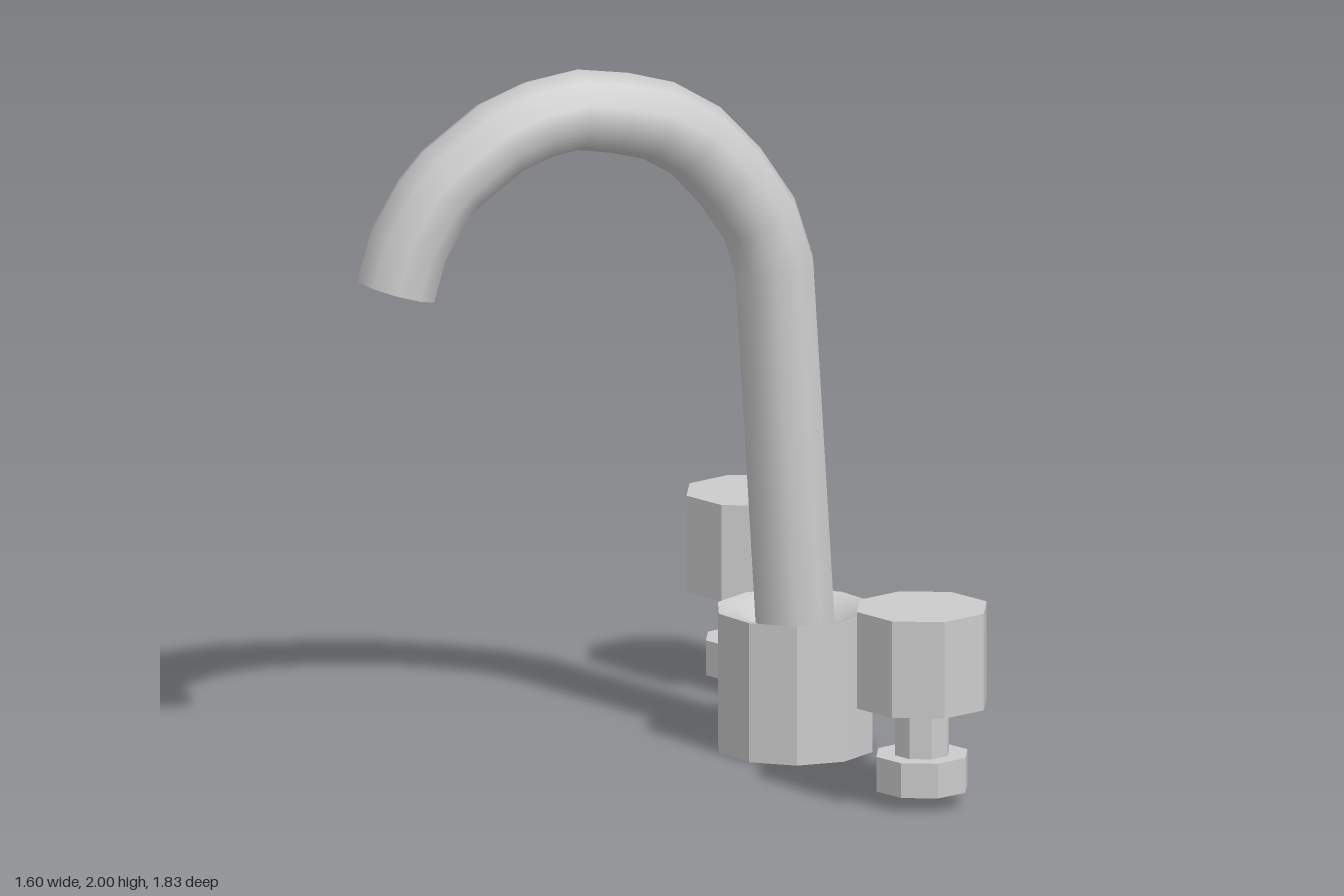
import * as THREE from 'three';

const solid = new THREE.MeshStandardMaterial({ color: 0xcccccc, flatShading: true });
const shell = new THREE.MeshStandardMaterial({ color: 0xcccccc, flatShading: true, side: THREE.DoubleSide });
const smooth = new THREE.MeshStandardMaterial({ color: 0xcccccc, side: THREE.DoubleSide });

function part(name, geometry, material, x, y, z) {
  const mesh = new THREE.Mesh(geometry, material);
  mesh.name = name;
  mesh.position.set(x, y, z);
  return mesh;
}

// Bends an open ten-sided cylinder along a centre line lying in the xy plane
function bentPipe(points, radius) {
  const path = points.map(([x, y]) => new THREE.Vector2(x, y));
  const n = path.length - 1;
  const direction = (i) => path[i + 1].clone().sub(path[i]).normalize();
  const geo = new THREE.CylinderGeometry(radius, radius, n, 10, n, true, Math.PI / 2);
  const pos = geo.attributes.position;
  const normal = geo.attributes.normal;
  for (let v = 0; v < pos.count; v++) {
    const i = Math.round(pos.getY(v) + n / 2);
    const t = direction(Math.max(i - 1, 0)).add(direction(Math.min(i, n - 1))).normalize();
    const a = pos.getX(v), z = pos.getZ(v);
    pos.setXYZ(v, path[i].x + t.y * a, path[i].y - t.x * a, z);
    normal.setXYZ(v, t.y * a / radius, -t.x * a / radius, z / radius);
  }
  return geo;
}

// Octagonal tap: hollow foot, stem and knob
function makeTap(name, z) {
  const tap = new THREE.Group();
  tap.name = name;
  const ring = (r, h) => new THREE.CylinderGeometry(r, r, h, 8, 1, true);
  const lid = new THREE.CircleGeometry(0.135, 8).rotateX(-Math.PI / 2);
  tap.add(
    part('tapFoot', ring(0.135, 0.1), shell, 0, 0.093, 0),
    part('tapFootTop', lid, shell, 0, 0.143, 0),
    part('tapStem', ring(0.08, 0.145), shell, 0, 0.215, 0),
    part('tapKnob', new THREE.CylinderGeometry(0.192, 0.192, 0.278, 8), solid, 0, 0.425, 0)
  );
  tap.position.set(0.607, 0, z);
  return tap;
}

export function createModel() {
  const model = new THREE.Group();
  model.name = 'faucet';
  const z = -0.017;

  // Ten-sided base, open below, with a dished top around the pipe
  const wall = new THREE.CylinderGeometry(0.226, 0.226, 0.4, 10, 1, true, Math.PI / 2);
  model.add(part('baseWall', wall, shell, 0.49, 0.2, z));
  const profile = [[0.226, 0.4], [0.17, 0.385], [0.113, 0.335]].map(([r, y]) => new THREE.Vector2(r, y));
  model.add(part('baseDish', new THREE.LatheGeometry(profile, 10, Math.PI / 2), smooth, 0.49, 0, z));

  // Straight riser leading into the arched spout
  const spoutLine = [
    [0.492, 0.32], [0.4275, 1.39], [0.383, 1.53], [0.296, 1.66], [0.196, 1.768],
    [0.085, 1.835], [-0.03, 1.866], [-0.155, 1.885], [-0.27, 1.866], [-0.385, 1.822],
    [-0.53, 1.717], [-0.587, 1.652], [-0.655, 1.538], [-0.693, 1.408]
  ];
  model.add(part('spout', bentPipe(spoutLine, 0.116), smooth, 0, 0, z));

  model.add(makeTap('leftTap', 0.723), makeTap('rightTap', -0.725));
  return model;
}
